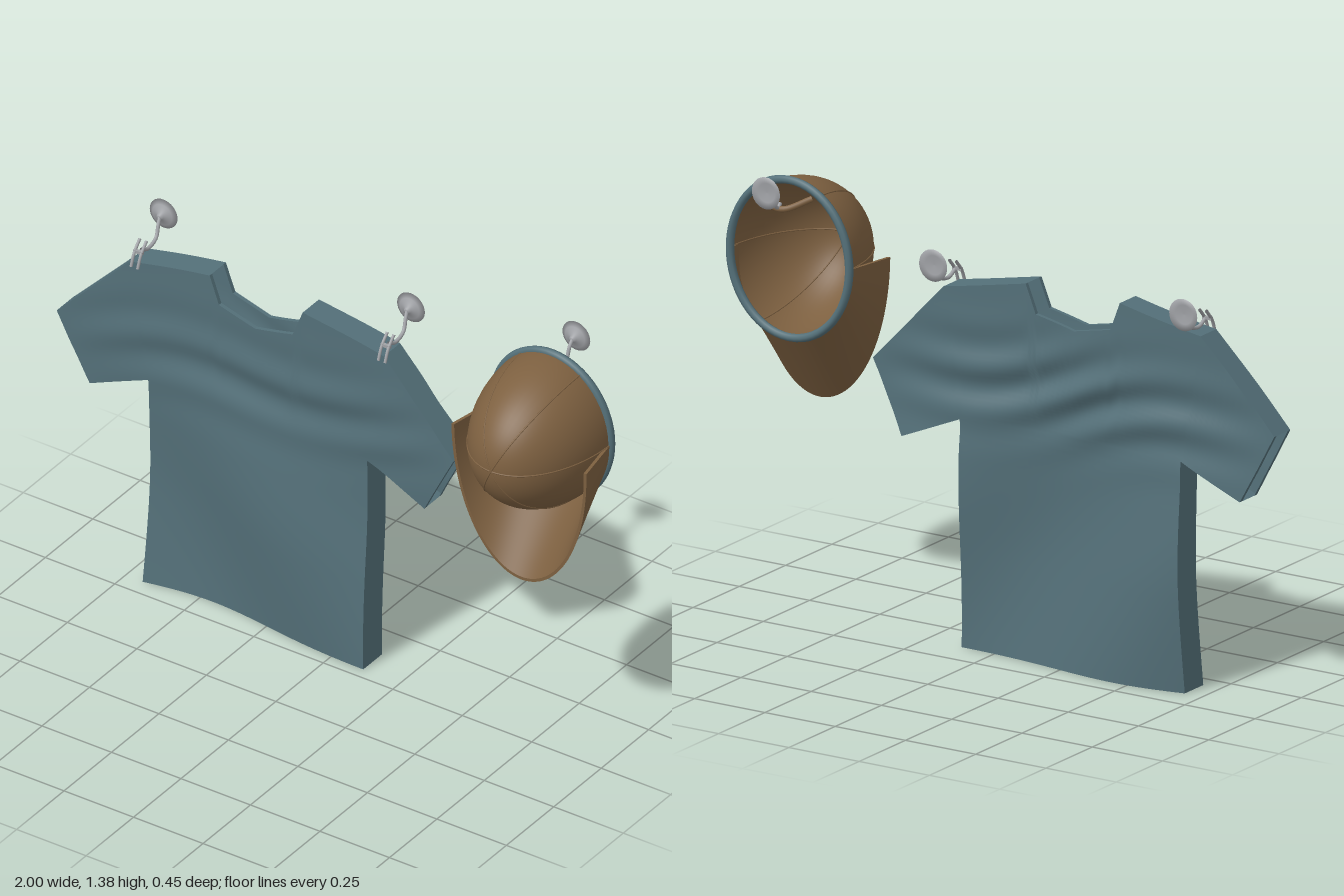
import * as THREE from 'three';
import { mergeGeometries, mergeVertices } from 'three/addons/utils/BufferGeometryUtils.js';

const V = (x, y, z) => new THREE.Vector3(x, y, z);
const mix = (a, b, t) => a + (b - a) * t;
const material = (name, color) => {
  const m = new THREE.MeshStandardMaterial({ color, side: THREE.DoubleSide });
  m.name = name;
  return m;
};

// Grid surface: point(u, v) over 0..1, optionally with the winding reversed
function grid(nu, nv, point, flip = false) {
  const pos = [], index = [];
  for (let j = 0; j <= nv; j++) {
    for (let i = 0; i <= nu; i++) pos.push(...point(i / nu, j / nv));
  }
  for (let j = 0; j < nv; j++) {
    for (let i = 0; i < nu; i++) {
      const a = j * (nu + 1) + i, b = a + 1, c = a + nu + 1, d = c + 1;
      if (flip) index.push(a, d, b, a, c, d);
      else index.push(a, b, d, a, d, c);
    }
  }
  const g = new THREE.BufferGeometry();
  g.setAttribute('position', new THREE.Float32BufferAttribute(pos, 3));
  g.setIndex(index);
  return g;
}

// ---- Shirt shape, measured from its own centre line ----
const SHIRT_X = -0.285;
const ARMPIT = [0.39, 0.72], HEM = [0.403, 0], SHOULDER = [0.455, 1.12];
const CUFF_TOP = [0.715, 0.85], CUFF_LOW = [0.6, 0.63];
// Neckline and shoulder: column position, x, y
const TOP = [[0, 0, 1.055], [0.3, 0.135, 1.085], [0.4, 0.17, 1.175], [1, ...SHOULDER]];

function topEdge(s) {
  const a = Math.abs(s);
  const k = a < 0.3 ? 0 : a < 0.4 ? 1 : 2;
  const t = (a - TOP[k][0]) / (TOP[k + 1][0] - TOP[k][0]);
  return [Math.sign(s) * mix(TOP[k][1], TOP[k + 1][1], t), mix(TOP[k][2], TOP[k + 1][2], t)];
}

// Depth of the cloth: broad drape waves below, diagonal creases across the chest
function clothZ(x, y, side) {
  const low = 1 - THREE.MathUtils.smoothstep(y, 0.3, 0.95);
  const drape = 0.026 * low * Math.sin(6 * x + 4 * y - 0.9) + 0.007 * Math.sin(9 * x + 1);
  const chest = Math.exp(-(((y - 0.85) / 0.14) ** 2)) * Math.max(0, 1 - (x / 0.7) ** 2);
  const crease = chest * (side > 0
    ? 0.009 * Math.sin(36 * y - 7 * x + 2 * Math.sin(5 * x))
    : 0.014 * Math.sin(42 * y + 9 * x + 2 * Math.sin(6 * x)));
  return -0.107 + drape + crease + side * (0.043 + 0.007 * low);
}

function sheet(side) {
  const put = (x, y) => [x, y, clothZ(x, y, side)];
  const flip = side < 0;
  const patches = [
    grid(40, 30, (u, v) => put((2 * u - 1) * mix(HEM[0], ARMPIT[0], v), v * ARMPIT[1]), flip),
    grid(40, 30, (u, v) => {
      const s = 2 * u - 1, [tx, ty] = topEdge(s);
      return put(mix(s * ARMPIT[0], tx, v), mix(ARMPIT[1], ty, v));
    }, flip),
  ];
  for (const m of [-1, 1]) {
    patches.push(grid(14, 30, (u, v) => {
      const t = m > 0 ? u : 1 - u;
      const x = mix(mix(ARMPIT[0], SHOULDER[0], v), mix(CUFF_LOW[0], CUFF_TOP[0], v), t);
      const y = mix(mix(ARMPIT[1], SHOULDER[1], v), mix(CUFF_LOW[1], CUFF_TOP[1], v), t);
      return put(m * x, y);
    }, flip));
  }
  const g = mergeVertices(mergeGeometries(patches), 1e-4);
  g.computeVertexNormals();
  return g;
}

// Narrow band of cloth along a straight edge, from depth fraction d0 to d1
function band(a, b, d0, d1, n) {
  const g = grid(n, 1, (u, v) => {
    const x = mix(a[0], b[0], u), y = mix(a[1], b[1], u);
    return [x, y, mix(clothZ(x, y, 1), clothZ(x, y, -1), mix(d0, d1, v))];
  });
  g.computeVertexNormals();
  return g;
}

export function createModel() {
  const cloth = material('blueCloth', 0x547079);
  const brown = material('brownCloth', 0x7d6040);
  const metal = material('greyMetal', 0xa0a2a6);
  const model = new THREE.Group();
  const add = (parent, name, geometry, mat) => {
    const mesh = new THREE.Mesh(geometry, mat);
    mesh.name = name;
    parent.add(mesh);
    return mesh;
  };
  const group = (name) => {
    const g = new THREE.Group();
    g.name = name;
    model.add(g);
    return g;
  };
  const tube = (points, r, n = 24, closed = false) =>
    new THREE.TubeGeometry(new THREE.CatmullRomCurve3(points, closed), n, r, 8, closed);

  // Shirt
  const shirt = group('shirt');
  shirt.position.x = SHIRT_X;
  add(shirt, 'shirtFront', sheet(1), cloth);
  add(shirt, 'shirtBack', sheet(-1), cloth);
  for (const m of [-1, 1]) {
    const f = ([x, y]) => [m * x, y];
    const neck = TOP.map(([, x, y]) => f([x, y]));
    const [hem, pit, low, cuff, sh] = [HEM, ARMPIT, CUFF_LOW, CUFF_TOP, SHOULDER].map(f);
    // Closed seams
    add(shirt, 'sideSeam', band(hem, pit, 0, 1, 30), cloth);
    add(shirt, 'underarmSeam', band(pit, low, 0, 1, 14), cloth);
    add(shirt, 'sleeveSeam', band(cuff, sh, 0, 1, 14), cloth);
    add(shirt, 'shoulderSeam', band(sh, neck[2], 0, 1, 12), cloth);
    // Turned lips around the open neck, cuffs and hem
    for (const [d0, d1] of [[0, 0.15], [1, 0.85]]) {
      add(shirt, 'neckLip', band(neck[0], neck[1], d0, d1, 6), cloth);
      add(shirt, 'neckLip', band(neck[1], neck[2], d0, d1, 2), cloth);
      add(shirt, 'cuffLip', band(low, cuff, d0, d1, 30), cloth);
      add(shirt, 'hemLip', band([0, 0], hem, d0, d1, 20), cloth);
    }
  }

  // Cap crown: half an ellipsoid, open at the back
  const cap = group('cap');
  cap.position.set(0.755, 1.09, -0.1);
  const [RX, RY, RZ] = [0.212, 0.245, 0.323];
  const crown = new THREE.SphereGeometry(1, 48, 24, 0, Math.PI * 2, 0, Math.PI / 2);
  add(cap, 'crown', crown.rotateX(Math.PI / 2).scale(RX, RY, RZ), brown);
  for (let k = 0; k < 6; k++) {
    const a = k * Math.PI / 3, pts = [];
    for (let i = 0; i <= 12; i++) {
      const p = i / 12 * Math.PI / 2;
      pts.push(V(RX * Math.cos(a) * Math.sin(p), RY * Math.sin(a) * Math.sin(p), RZ * Math.cos(p)));
    }
    add(cap, 'crownSeam', tube(pts, 0.0025), brown);
  }
  const rim = [];
  for (let i = 0; i < 32; i++) {
    const a = i / 32 * Math.PI * 2;
    rim.push(V(RX * Math.cos(a), RY * Math.sin(a), 0));
  }
  add(cap, 'rimBand', tube(rim, 0.013, 64, true), cloth);

  // Visor: lower half of the rim lofted forward to a longer curve
  const visorPoint = (a, t, inset) => [
    (mix(RX, 0.243, t) - inset) * Math.cos(a),
    -(mix(RY, 0.473, t) - inset) * Math.sin(a),
    t * (0.175 - 0.012 * Math.sin(a))];
  const faces = [[0, 0, 1, 0], [1, 0, 1, 0.01], [1, 0.01, 0, 0.01]];
  faces.forEach(([t0, i0, t1, i1], k) => {
    const g = grid(48, 6, (u, v) => visorPoint(u * Math.PI, mix(t0, t1, v), mix(i0, i1, v)), true);
    g.computeVertexNormals();
    add(cap, ['visorOuter', 'visorEdge', 'visorInner'][k], g, brown);
  });
  for (const a of [0, Math.PI]) {
    const g = grid(6, 1, (u, v) => visorPoint(a, u, v * 0.01));
    g.computeVertexNormals();
    add(cap, 'visorEnd', g, brown);
  }
  // Hanging strap
  const strap = [V(-0.08, 0.2, 0), V(-0.02, 0.172, -0.054), V(0.02, 0.172, -0.054), V(0.08, 0.2, 0)];
  add(cap, 'strap', tube(strap, 0.01), brown);

  // Wall hooks: round cup with a bent rod
  const cupProfile = [[0, 0.026], [0.008, 0.026], [0.012, 0.017], [0.035, 0.008], [0.05, 0], [0.03, 0.004], [0, 0.006]]
    .map(([x, y]) => new THREE.Vector2(x, y));
  const hook = (name, x, y, rod) => {
    const g = group(name);
    g.position.set(x, y, -0.228);
    add(g, 'cup', new THREE.LatheGeometry(cupProfile, 32).rotateX(Math.PI / 2), metal);
    add(g, 'rod', tube(rod, 0.006), metal);
    return g;
  };
  hook('capHook', 0.755, 1.327,
    [V(0, 0, 0.02), V(0, -0.02, 0.036), V(0, -0.055, 0.052), V(0, -0.062, 0.068), V(0, -0.05, 0.078)]);
  for (const x of [-0.73, 0.16]) {
    const g = hook('shirtHook', x, 1.205,
      [V(0, 0, 0.02), V(0.004, -0.02, 0.034), V(0.01, -0.053, 0.055), V(0.012, -0.065, 0.1), V(0.012, -0.05, 0.135)]);
    // Clip prongs gripping the shoulder
    for (const dx of [0, 0.024]) {
      add(g, 'clipProng', tube([V(dx, -0.02, 0.125), V(dx, -0.055, 0.155), V(dx, -0.095, 0.172)], 0.005), metal);
    }
    const bar = add(g, 'clipBar', new THREE.BoxGeometry(0.032, 0.01, 0.01), metal);
    bar.position.set(0.012, -0.05, 0.15);
  }
  return model;
}
